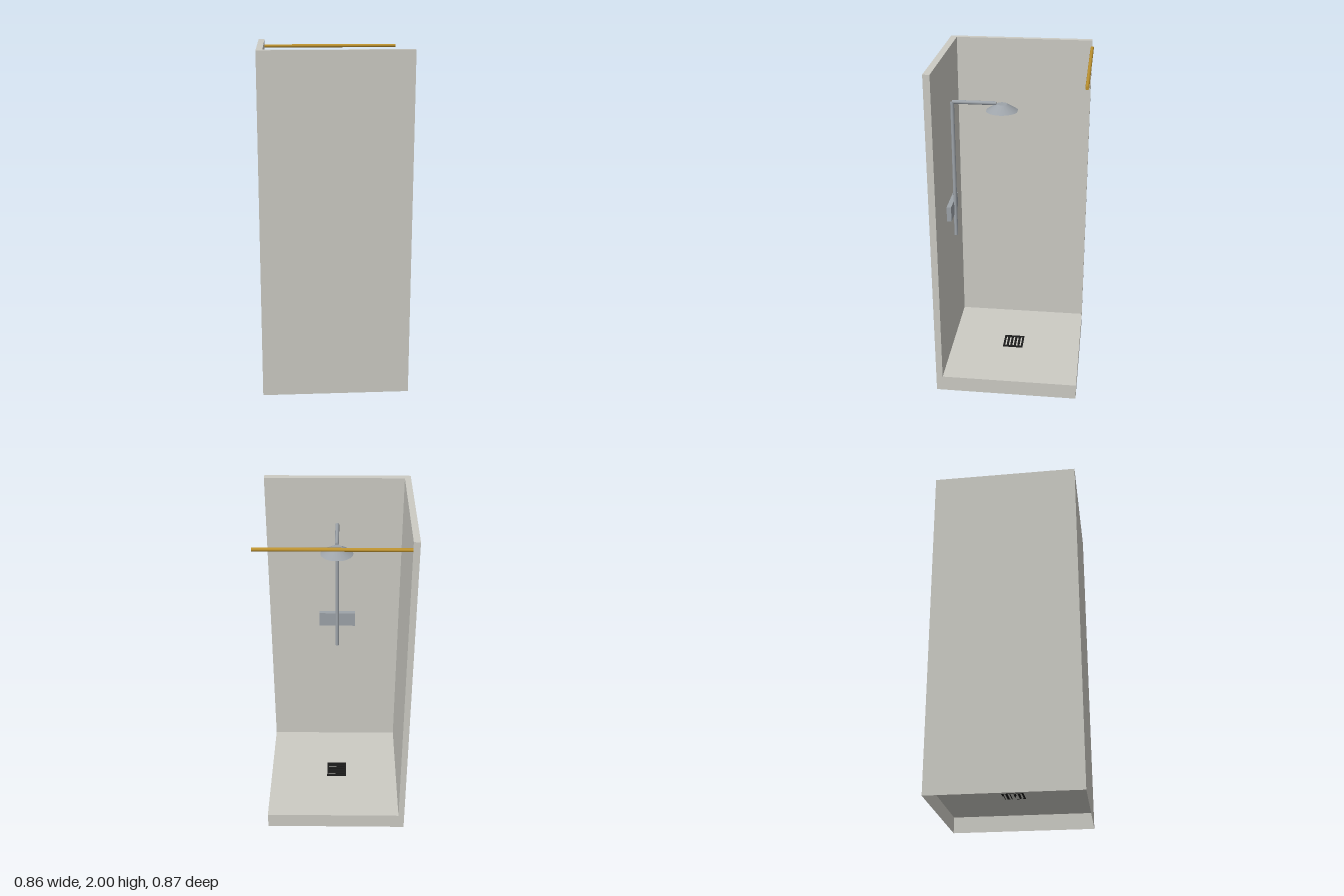
import * as THREE from 'three';

const material = (name, color, side = THREE.FrontSide) =>
  Object.assign(new THREE.MeshStandardMaterial({ color, side }), { name });

export function createModel() {
  const stone = material('stone', 0xcccbc4, THREE.DoubleSide);
  const steel = material('steel', 0x9da3a9);
  const brass = material('brass', 0xbd922f);
  const black = material('black', 0x1b1b1b);

  const group = new THREE.Group();
  group.name = 'showerStall';
  const add = (name, geometry, mat, x = 0, y = 0, z = 0) => {
    const mesh = new THREE.Mesh(geometry, mat);
    mesh.name = name;
    mesh.position.set(x, y, z);
    group.add(mesh);
    return mesh;
  };

  const W = 0.428, zBack = -0.424, zFront = 0.433, floorY = 0.097;
  const depth = zFront - zBack, midZ = (zFront + zBack) / 2;

  // Hollow tray: a box without its underside
  const tray = new THREE.BoxGeometry(W * 2, floorY, depth);
  tray.setIndex([...tray.index.array].filter((_, i) => i < 18 || i >= 24));
  tray.clearGroups();
  add('tray', tray, stone, 0, floorY / 2, midZ);

  // Two walls joined in an L, drawn in plan (shape y is -z)
  const plan = new THREE.Shape([
    [-W, zFront], [W, zFront], [W, 0.394], [-0.392, 0.394], [-0.392, zBack], [-W, zBack],
  ].map(([x, z]) => new THREE.Vector2(x, -z)));
  const walls = new THREE.ExtrudeGeometry(plan, { depth: 2 - floorY, bevelEnabled: false });
  walls.rotateX(-Math.PI / 2);
  add('walls', walls, stone, 0, floorY, 0);

  // Curtain rod across the open back
  const rod = new THREE.CylinderGeometry(0.01, 0.01, W + 0.392, 12).rotateZ(Math.PI / 2);
  add('curtainRod', rod, brass, (W - 0.392) / 2, 1.956, zBack);

  // Riser pipe and overhead arm
  add('riserPipe', new THREE.CylinderGeometry(0.0115, 0.0115, 0.855, 12), steel, 0, 1.29, 0.361);
  const arm = new THREE.CylinderGeometry(0.0115, 0.0115, 0.258, 12).rotateX(Math.PI / 2);
  add('showerArm', arm, steel, 0, 1.719, 0.232);

  // Shower head, a flat cone slightly trimmed front and back
  const head = new THREE.CylinderGeometry(0.03, 0.095, 0.04, 20);
  const p = head.attributes.position;
  for (let i = 0; i < p.count; i++) p.setZ(i, THREE.MathUtils.clamp(p.getZ(i), -0.0904, 0.0904));
  add('showerHead', head, steel, 0, 1.697, 0.071);

  // Mixer block on the wall
  add('mixerBlock', new THREE.BoxGeometry(0.228, 0.093, 0.029), steel, 0, 1.051, 0.381);

  // Drain grate with five slots
  const rect = (Type, w, h, y) => new Type([
    [-w, y - h], [w, y - h], [w, y + h], [-w, y + h],
  ].map(([a, b]) => new THREE.Vector2(a, b)));
  const grate = rect(THREE.Shape, 0.062, 0.063, 0);
  for (let i = -2; i <= 2; i++) grate.holes.push(rect(THREE.Path, 0.053, 0.005, i * 0.0232));
  const grateGeometry = new THREE.ExtrudeGeometry(grate, { depth: 0.008, bevelEnabled: false });
  grateGeometry.rotateX(-Math.PI / 2);
  add('drainGrate', grateGeometry, black, 0, floorY, 0.003);

  return group;
}
